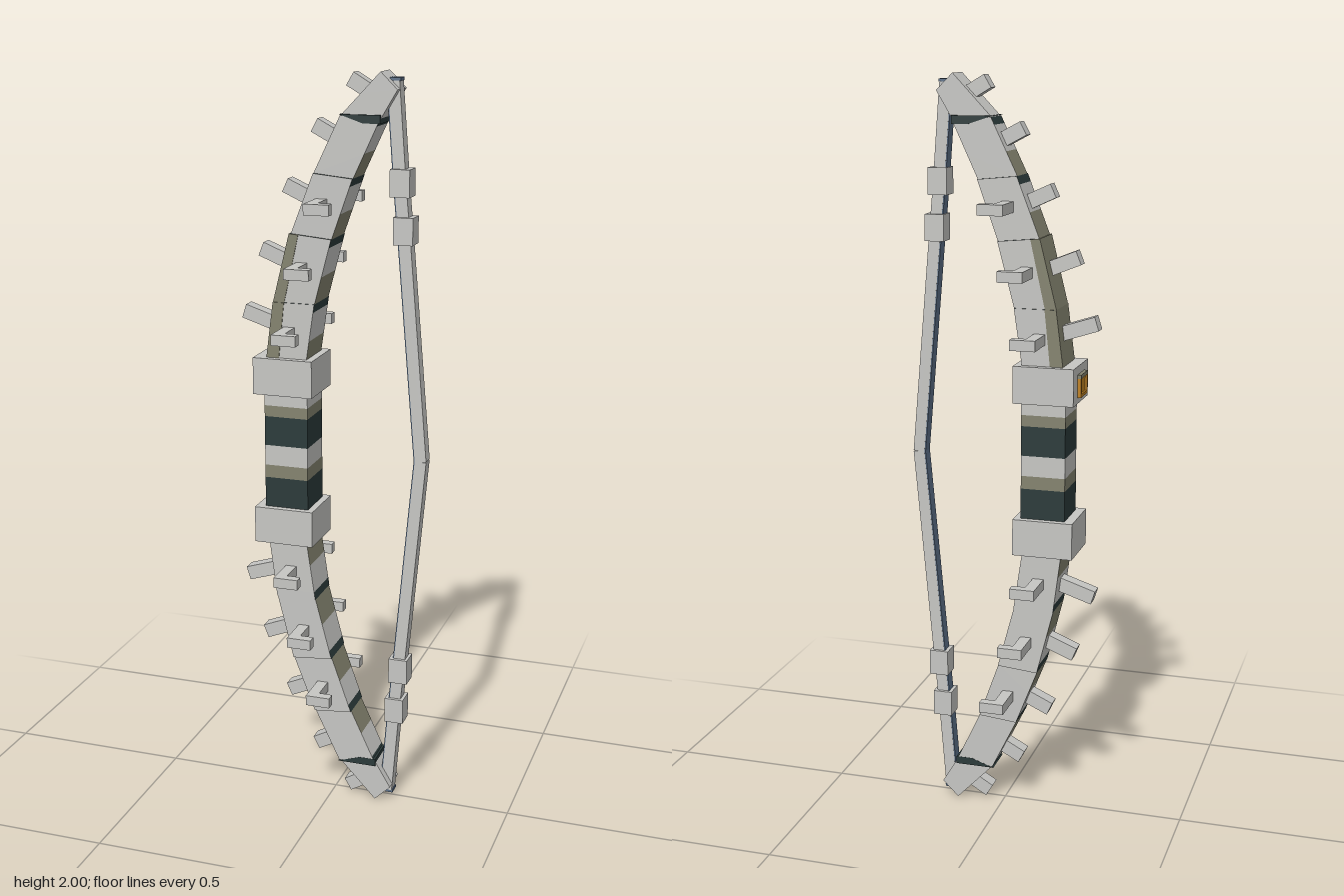
import * as THREE from 'three';

const mat = (name, color) => {
  const m = new THREE.MeshStandardMaterial({ color });
  m.name = name;
  return m;
};

export function createModel() {
  const light = mat('pale bone', 0xc6c6c3);
  const olive = mat('grey olive', 0x84836f);
  const dark = mat('dark teal', 0x2b3a3a);
  const blue = mat('slate blue', 0x5c7088);
  const amber = mat('amber', 0xc08222);
  const root = new THREE.Group();
  root.name = 'bow';

  const add = (parent, name, geo, material) => {
    const m = new THREE.Mesh(geo, material);
    m.name = name;
    parent.add(m);
    return m;
  };
  const box = (parent, name, x0, x1, y0, y1, z0, z1, material) =>
    add(parent, name, new THREE.BoxGeometry(x1 - x0, y1 - y0, z1 - z0)
      .translate((x0 + x1) / 2, (y0 + y1) / 2, (z0 + z1) / 2), material);
  // Flat outline in x/y, thickened evenly along z
  const slab = (parent, name, pts, hz, material) => {
    const shape = new THREE.Shape(pts.map(([x, y]) => new THREE.Vector2(x, y)));
    const geo = new THREE.ExtrudeGeometry(shape, { depth: 2 * hz, bevelEnabled: false });
    return add(parent, name, geo.translate(0, 0, -hz), material);
  };
  // Square-ended bar between two points
  const bar = (parent, name, [ax, ay], [bx, by], w, hz, material) => {
    const l = Math.hypot(bx - ax, by - ay);
    const nx = -(by - ay) / l * w / 2, ny = (bx - ax) / l * w / 2;
    return slab(parent, name,
      [[ax + nx, ay + ny], [bx + nx, by + ny], [bx - nx, by - ny], [ax - nx, ay - ny]], hz, material);
  };
  const mix = (a, b, t) => [a[0] + (b[0] - a[0]) * t, a[1] + (b[1] - a[1]) * t];

  // Striped grip: bottom, top, colour
  const grip = new THREE.Group();
  grip.name = 'grip';
  root.add(grip);
  [[0.84, 0.93, dark], [0.93, 0.965, olive], [0.965, 1.02, light],
    [1.02, 1.1, dark], [1.1, 1.13, olive], [1.13, 1.17, light]]
    .forEach(([a, b, m]) => box(grip, 'gripBand', -0.18, -0.06, a, b, -0.06, 0.06, m));

  // Outer and inner edge of the limb at each joint
  const joints = [
    [[-0.172, 1.24], [-0.065, 1.24]],
    [[-0.15, 1.41], [-0.04, 1.41]],
    [[-0.105, 1.59], [0.005, 1.58]],
    [[-0.045, 1.745], [0.06, 1.735]],
    [[0.025, 1.89], [0.13, 1.885]],
    [[0.128, 1.998], [0.172, 1.955]],
  ];
  const halfDepth = [0.06, 0.057, 0.052, 0.046, 0.04];
  const backSpikes = [
    [[-0.25, 1.372], [-0.12, 1.33]], [[-0.2, 1.54], [-0.08, 1.492]],
    [[-0.132, 1.708], [-0.02, 1.657]], [[-0.052, 1.862], [0.05, 1.808]],
    [[0.042, 1.978], [0.12, 1.932]],
  ];
  const hooks = [[-0.124, 1.332, 0.158], [-0.089, 1.503, 0.154], [-0.037, 1.668, 0.15]];
  const string = [[0.155, 1.975], [0.175, 1.72], [0.188, 1.58], [0.239, 1]];

  for (const upper of [true, false]) {
    const half = new THREE.Group();
    half.name = upper ? 'upperLimb' : 'lowerLimb';
    root.add(half);
    const f = ([x, y]) => [x, upper ? y : 2 - y];

    // Collar between grip and limb
    const [c0, c1] = upper ? [1.163, 1.262] : [0.749, 0.848];
    box(half, 'collar', -0.205, -0.042, c0, c1, -0.078, 0.078, light);

    // Limb sections, pale on the flanks and striped on the inner and outer faces
    halfDepth.forEach((hz, i) => {
      const [l0, r0] = joints[i], [l1, r1] = joints[i + 1];
      const stripes = i < 4
        ? [[0, 0.42, olive], [0.42, 0.87, light], [0.87, 1, dark]]
        : [[0, 0.5, light], [0.5, 1, light]];
      stripes.forEach(([a, b, m]) => slab(half, 'limbSection',
        [mix(l0, l1, a), mix(r0, r1, a), mix(r0, r1, b), mix(l0, l1, b)].map(f), hz, [light, m]));
    });
    // Dark wedge binding near the tip
    slab(half, 'tipBinding', [[0.022, 1.893], [0.13, 1.893], [0.13, 1.872], [0.085, 1.872]].map(f), 0.0465, dark);

    // Olive backing strip along the upper limb
    if (upper) for (let i = 0; i < 2; i++) {
      const [l0, r0] = joints[i], [l1, r1] = joints[i + 1];
      slab(half, 'backingStrip',
        [mix(l0, r0, -0.03), mix(l0, r0, 0.3 - i * 0.05), mix(l1, r1, 0.25 - i * 0.05), mix(l1, r1, -0.03)],
        halfDepth[i] + 0.002, olive);
    }

    // Spikes along the back
    for (const [a, b] of backSpikes) bar(half, 'backSpike', f(a), f(b), 0.038, 0.019, light);

    // Hooked prongs on both flanks
    for (const [x, y, z] of hooks) for (const s of [-1, 1]) {
      const [, yy] = f([x, y]);
      const span = (a, b) => (s > 0 ? [a, b] : [-b, -a]);
      box(half, 'prongStem', x, x + 0.03, yy - 0.014, yy + 0.014, ...span(0.03, z - 0.026), light);
      box(half, 'prongHook', x, x + 0.067, yy - 0.014, yy + 0.014, ...span(z - 0.026, z), light);
    }

    // String with a blue inner face
    for (let i = 0; i < 3; i++) {
      const a = string[i], b = string[i + 1];
      bar(half, 'string', f(a), f(b), 0.031, 0.018, light);
      bar(half, 'stringInnerFace', f([a[0] - 0.0165, a[1]]), f([b[0] - 0.0165, b[1]]), 0.004, 0.0175, blue);
    }
    const [, t] = f([0, 1.979]);
    box(half, 'stringEnd', 0.145, 0.173, t - 0.004, t + 0.004, -0.017, 0.017, blue);

    // Beads on the string
    for (const [x, y] of [[0.176, 1.725], [0.186, 1.605]]) {
      const [, yy] = f([x, y]);
      box(half, 'stringBead', x - 0.026, x + 0.026, yy - 0.035, yy + 0.035, -0.027, 0.027, light);
    }
  }

  // Amber inlay in a raised frame on the upper collar
  const inlay = new THREE.Group();
  inlay.name = 'inlay';
  root.add(inlay);
  box(inlay, 'inlayPlate', -0.21, -0.2, 1.185, 1.235, -0.033, 0.033, amber);
  box(inlay, 'frameTop', -0.215, -0.2, 1.23, 1.24, -0.036, 0.036, olive);
  box(inlay, 'frameBottom', -0.215, -0.2, 1.18, 1.188, -0.036, 0.036, amber);
  for (const s of [-1, 1])
    box(inlay, 'frameSide', -0.215, -0.2, 1.188, 1.23, s * 0.032 - 0.004, s * 0.032 + 0.004, amber);

  return root;
}
